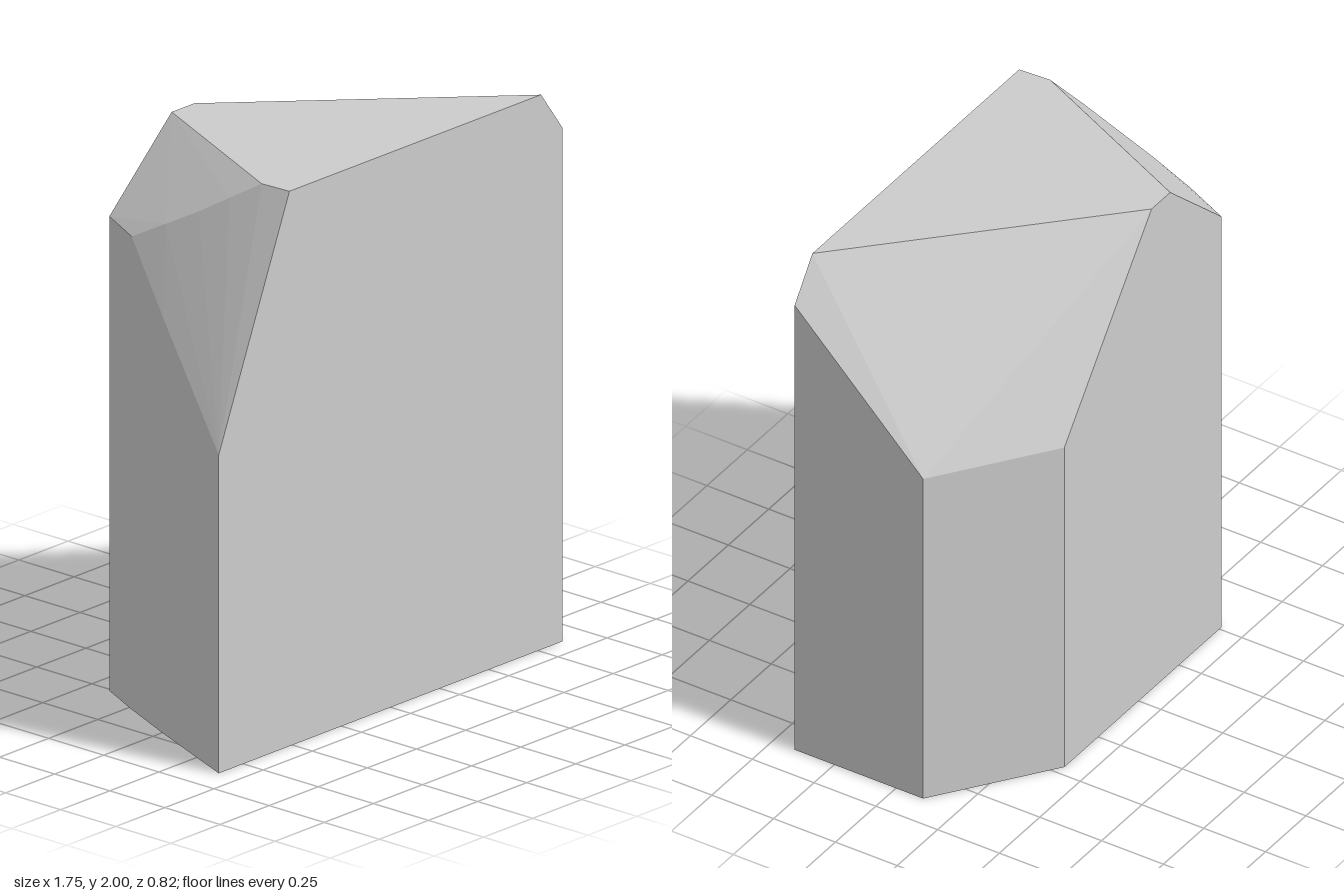
import * as THREE from 'three';
import { ConvexGeometry } from 'three/addons/geometries/ConvexGeometry.js';

export function createModel() {
  const group = new THREE.Group();
  const stone = new THREE.MeshStandardMaterial({ color: 0xcccccc });
  stone.name = 'palegrey';

  // Upright walls: plan position (x, z) and the height where each corner is cut off
  const walls = [
    [-0.875, 0.41, 1.147], [0.875, 0.41, 1.85], [0.875, -0.11, 1.33],
    [0.46, -0.41, 1.33], [-0.512, -0.41, 1.71], [-0.6, -0.23, 1.705],
    [-0.705, 0.005, 1.5],
  ];
  // Flat crown (x, z) at full height
  const crown = [[-0.515, 0.41], [0.765, 0.41], [-0.08, -0.41], [-0.195, -0.41], [-0.522, 0.29]];
  // Bowed edge between the two left bevels
  const bow = [[-0.59, 1.783, -0.085], [-0.573, 1.855, 0.05], [-0.55, 1.928, 0.17]];

  const points = bow.map((p) => new THREE.Vector3(...p));
  for (const [x, z, top] of walls) {
    points.push(new THREE.Vector3(x, 0, z), new THREE.Vector3(x, top, z));
  }
  for (const [x, z] of crown) points.push(new THREE.Vector3(x, 2, z));

  const block = new THREE.Mesh(new ConvexGeometry(points), stone);
  block.name = 'bevelledBlock';
  group.add(block);
  return group;
}
